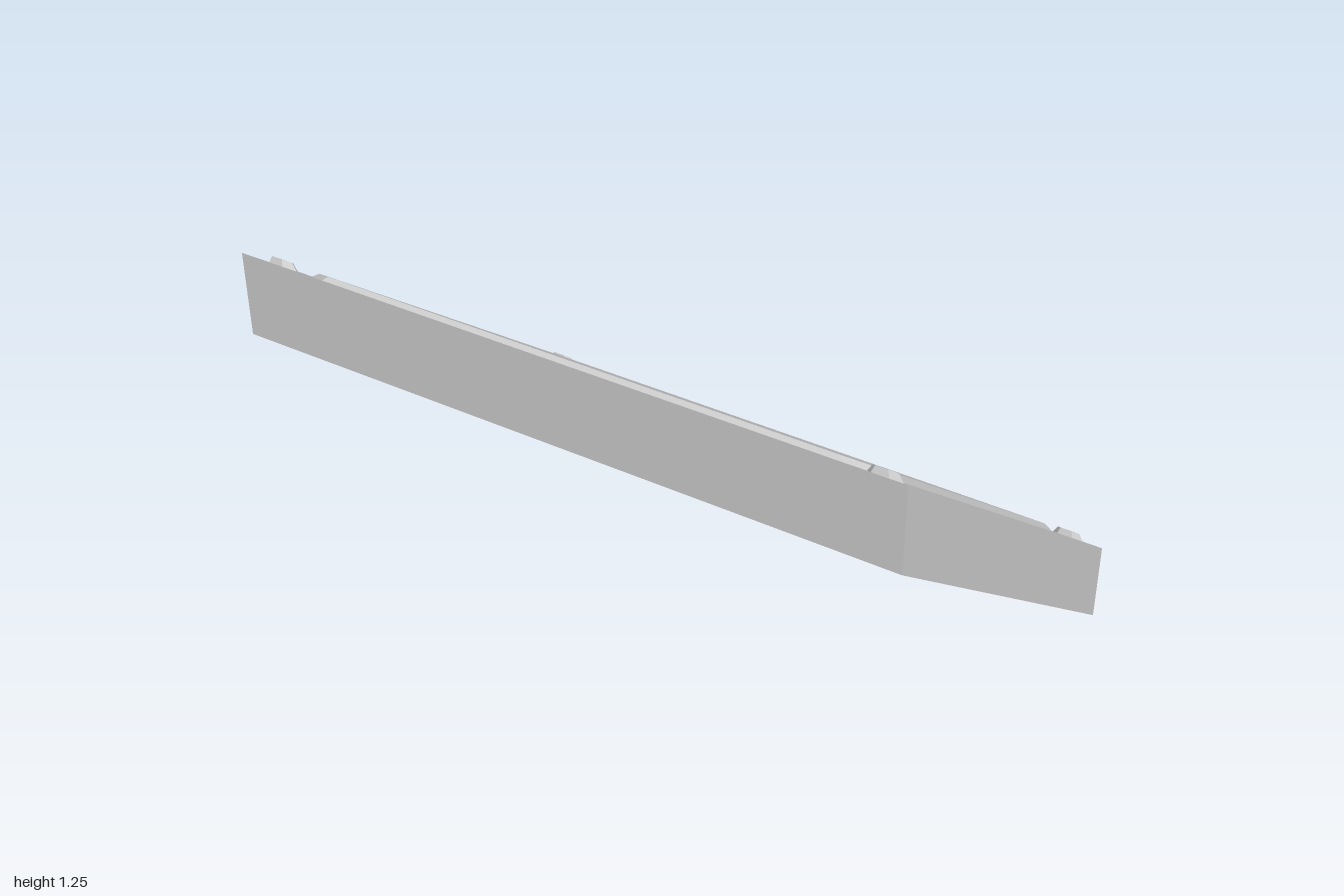
import * as THREE from 'three';

// Solid between two matching outlines of [x, z] points, laid out on a square
// plan; points run from +x towards +z.
function loft(lower, upper, y0, y1) {
  const pos = [], n = lower.length;
  const lo = i => [lower[i % n][0], y0, lower[i % n][1]];
  const up = i => [upper[i % n][0], y1, upper[i % n][1]];
  const tri = (a, b, c) => pos.push(...a, ...b, ...c);
  for (let i = 0; i < n; i++) {
    tri(lo(i), up(i), lo(i + 1));
    tri(up(i), up(i + 1), lo(i + 1));
    if (i > 0 && i < n - 1) {
      tri(up(0), up(i + 1), up(i));
      tri(lo(0), lo(i), lo(i + 1));
    }
  }
  const geo = new THREE.BufferGeometry();
  geo.setAttribute('position', new THREE.Float32BufferAttribute(pos, 3));
  return geo;
}

// Square outline with cut corners: half width w, straight half edge e.
const cutSquare = (w, e) => [
  [w, -e], [w, e], [e, w], [-e, w], [-w, e], [-w, -e], [-e, -w], [e, -w],
];

// Hexagon outline around (cx, cz).
const hexagon = (cx, cz, r) => Array.from({ length: 6 }, (_, i) => {
  const a = i * Math.PI / 3;
  return [cx + r * Math.cos(a), cz + r * Math.sin(a)];
});

export function createModel() {
  const group = new THREE.Group();
  group.name = 'slopedPlate';
  const material = new THREE.MeshStandardMaterial({ color: 0xcccccc });

  // Squeezes the plan to 2 x 1.33 and shears it up towards the front.
  const slope = new THREE.Matrix4().set(
    1, 0, 0, 0,
    0, 1, 0.5, 0.5,
    0, 0, 2 / 3, 0,
    0, 0, 0, 1,
  );
  const add = (name, geo) => {
    geo.applyMatrix4(slope);
    geo.computeVertexNormals();
    const mesh = new THREE.Mesh(geo, material);
    mesh.name = name;
    group.add(mesh);
  };

  // Slab with upright sides
  const square = [[1, -1], [1, 1], [-1, 1], [-1, -1]];
  add('slab', loft(square, square, 0, 0.25));

  // Raised panel with bevelled edge
  add('raisedPanel', loft(cutSquare(0.895, 0.79), cutSquare(0.87, 0.78), 0.249, 0.268));

  // Tapered bolt heads in the corners
  for (const sx of [-1, 1]) for (const sz of [-1, 1]) {
    const x = sx * 0.912, z = sz * 0.912;
    const name = `${sz > 0 ? 'front' : 'back'}${sx > 0 ? 'Left' : 'Right'}Bolt`;
    add(name, loft(hexagon(x, z, 0.048), hexagon(x, z, 0.034), 0.249, 0.273));
  }
  return group;
}
